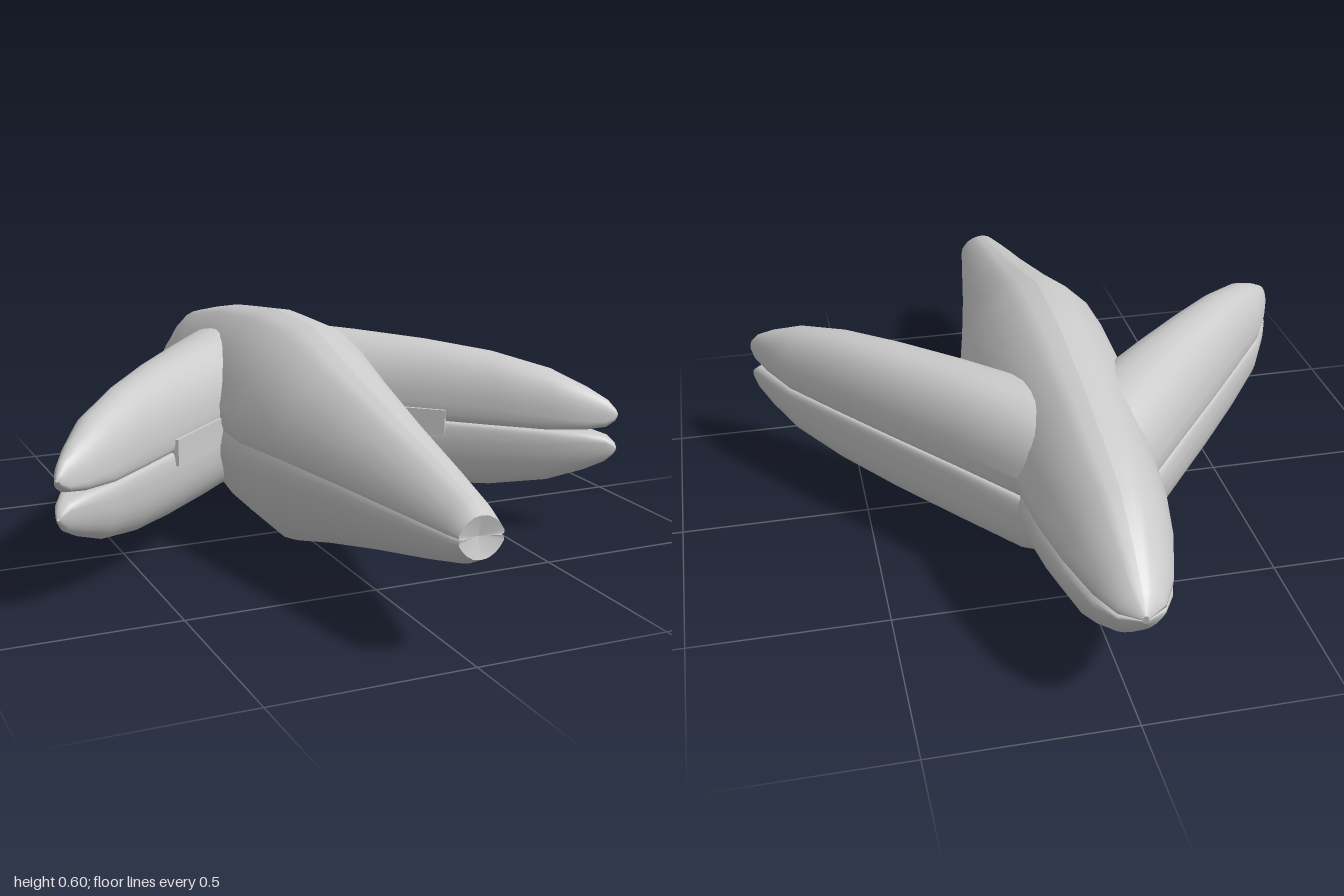
import * as THREE from 'three';

const MID = 0.303; // height of the horizontal centre line
const material = new THREE.MeshStandardMaterial({ color: 0xcccccc, side: THREE.DoubleSide });

// Skin a list of equal-length rings; apex (optional) closes the first ring with a fan
function loft(rings, flip, apex) {
  const n = rings[0].length, pos = rings.flat(2), index = [];
  const tri = (a, b, c) => (flip ? index.push(a, c, b) : index.push(a, b, c));
  for (let i = 0; i < rings.length - 1; i++) {
    for (let j = 0; j < n - 1; j++) {
      const a = i * n + j, b = a + 1, c = a + n, d = c + 1;
      tri(a, b, c);
      tri(b, d, c);
    }
  }
  if (apex) {
    const start = pos.length / 3;
    pos.push(...rings[0].flat(), ...apex);
    for (let j = 0; j < n - 1; j++) tri(start + n, start + j + 1, start + j);
  }
  const geo = new THREE.BufferGeometry();
  geo.setAttribute('position', new THREE.Float32BufferAttribute(pos, 3));
  geo.setIndex(index);
  geo.computeVertexNormals();
  return geo;
}

function add(parent, name, geo) {
  const mesh = new THREE.Mesh(geo, material);
  mesh.name = name;
  parent.add(mesh);
  return mesh;
}

// Fuselage stations: z, half width, half height, depth of the side groove
const bodyStations = [
  [1, 0.055, 0.05, 0.15], [0.95, 0.066, 0.075, 0.1], [0.8, 0.09, 0.115, 0.08],
  [0.55, 0.13, 0.175, 0.06], [0.3, 0.175, 0.24, 0.05], [0.1, 0.214, 0.298, 0.04],
  [-0.15, 0.205, 0.298, 0.04], [-0.45, 0.175, 0.26, 0.05], [-0.62, 0.158, 0.225, 0.06],
  [-0.77, 0.13, 0.19, 0.1], [-0.9, 0.092, 0.11, 0.2], [-0.97, 0.055, 0.05, 0.35],
  [-1, 0.008, 0.01, 0.4],
];
// Quarter section from the top ridge to the side groove
const quarter = [[0, 1], [0.2, 0.98], [0.37, 0.93], [0.65, 0.74], [0.85, 0.5], [1, 0.24], [1, 0.08], [1, 0]];

function makeBody() {
  const body = new THREE.Group();
  body.name = 'body';
  for (const sx of [1, -1]) for (const sy of [1, -1]) {
    const rings = bodyStations.map(([z, w, h, groove]) => quarter.map(([u, v], k) => {
      const pinch = k === quarter.length - 1 ? 1 - groove : 1;
      return [sx * w * u * pinch, MID + sy * h * v, z];
    }));
    add(body, 'bodyQuarter', loft(rings, sx * sy < 0, [0, MID, 0.985]));
  }
  return body;
}

// Wing stations: outer x, outer z, inner x, inner z, half height, notch gap, lobe roundness
const wingStations = [
  [0.08, -0.55, 0.0, -0.25, 0.2, 0, 0.06],
  [0.17, -0.48, 0.08, -0.16, 0.218, 0, 0.06],
  [0.3, -0.31, 0.217, -0.03, 0.214, 0, 0.06],
  [0.44, -0.13, 0.36, 0.1, 0.205, 0, 0.06],
  [0.57, 0.04, 0.49, 0.22, 0.188, 0, 0.07],
  [0.68, 0.185, 0.6, 0.32, 0.155, 0, 0.12],
  [0.735, 0.29, 0.68, 0.37, 0.115, 0.002, 0.4],
  [0.762, 0.355, 0.73, 0.393, 0.085, 0.012, 0.8],
  [0.769, 0.385, 0.752, 0.399, 0.062, 0.03, 1],
  [0.768, 0.394, 0.762, 0.398, 0.05, 0.044, 1],
];

function makeWing(sx) {
  const wing = new THREE.Group();
  wing.name = sx > 0 ? 'leftWing' : 'rightWing';
  const steps = 32;
  // Upper and lower lobes meet along the centre line and part at the tip
  for (const sy of [1, -1]) {
    const rings = wingStations.map(([ox, oz, ix, iz, high, low, round]) => {
      const ring = [], mid = low + (high - low) * 0.25;
      for (let k = 0; k <= steps; k++) {
        const t = (k / steps) * Math.PI * 2, s = Math.sin(t), c = Math.cos(t);
        const u = Math.sign(c) * Math.abs(c) ** (s < 0 ? round : 0.9);
        const v = mid + s * (s > 0 ? high - mid : mid - low);
        const f = (u + 1) / 2;
        ring.push([sx * (ix + (ox - ix) * f), MID + sy * v, iz + (oz - iz) * f]);
      }
      return ring;
    });
    add(wing, 'wingLobe', loft(rings, sx * sy < 0));
  }
  // Small flat plate on the inner face
  const plate = add(wing, 'wingPlate', new THREE.BoxGeometry(0.25, 0.07, 0.03));
  plate.position.set(sx * 0.302, MID, 0.038);
  plate.rotation.y = -sx * 0.74;
  return wing;
}

export function createModel() {
  const model = new THREE.Group();
  model.name = 'aircraft';
  model.add(makeBody(), makeWing(1), makeWing(-1));
  return model;
}
